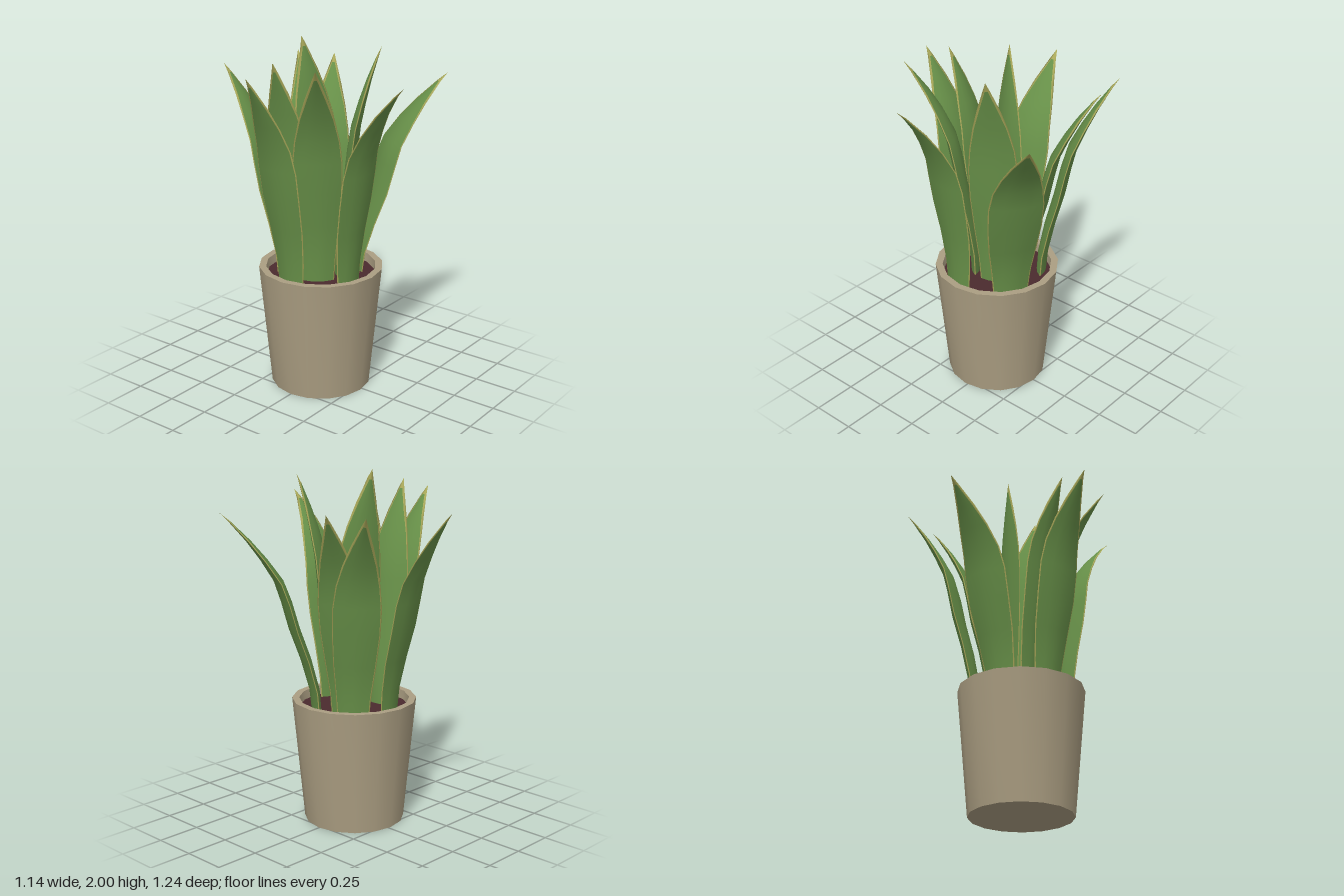
import * as THREE from 'three';
import { toCreasedNormals } from 'three/addons/utils/BufferGeometryUtils.js';

const clay = new THREE.MeshStandardMaterial({ name: 'clay', color: 0xab9e82 });
const soil = new THREE.MeshStandardMaterial({ name: 'soil', color: 0x4a2a2e });
const green = new THREE.MeshStandardMaterial({ name: 'leafGreen', color: 0x689149 });
const margin = new THREE.MeshStandardMaterial({ name: 'leafMargin', color: 0xaaa95a });

// Rows up a leaf: [height fraction, lean fraction, half width, half thickness]
const ROWS = [
  [0, 0, 0.085, 0.026], [0.15, 0.03, 0.099, 0.028], [0.3, 0.12, 0.119, 0.03],
  [0.45, 0.24, 0.133, 0.031], [0.58, 0.32, 0.135, 0.03], [0.68, 0.4, 0.121, 0.027],
  [0.78, 0.55, 0.094, 0.021], [0.87, 0.71, 0.06, 0.014], [0.96, 0.9, 0.019, 0.006],
  [1, 1, 0, 0],
];
const BASE_Y = 0.6;
const RING = 12; // points around a leaf's cross-section
const EDGE_STRIPS = [0, 5, 6, 11]; // strips beside the two sharp edges

// A lens-shaped blade lofted through closed cross-sections
function leafGeometry({ base, tip, face, width = 1, bend = 1 }) {
  const n = new THREE.Vector2(...face).normalize();
  const pos = [], body = [], edge = [];
  for (const [t, leanAt, halfAt, thick] of ROWS) {
    const lean = leanAt ** bend, half = halfAt * width;
    const cx = base[0] + (tip[0] - base[0]) * lean;
    const cz = base[1] + (tip[2] - base[1]) * lean;
    // The pale margin broadens towards the tip
    const pale = 0.006 + 0.02 * t ** 8;
    const m = 1 - Math.min(0.6, pale / Math.max(half, 0.001));
    const across = [-1, -m, -m / 2, 0, m / 2, m, 1, m, m / 2, 0, -m / 2, -m];
    across.forEach((s, i) => {
      const u = s * half;
      const d = (i < 6 ? 1 : -1) * thick * (1 - s * s);
      pos.push(cx + n.y * u + n.x * d, BASE_Y + (tip[1] - BASE_Y) * t, cz - n.x * u + n.y * d);
    });
  }
  for (let r = 0; r < ROWS.length - 1; r++) {
    const last = r === ROWS.length - 2;
    for (let c = 0; c < RING; c++) {
      const a = r * RING + c, b = r * RING + (c + 1) % RING;
      const tris = last ? [a, b, a + RING] : [a, b, b + RING, a, b + RING, a + RING];
      (last || EDGE_STRIPS.includes(c) ? edge : body).push(...tris);
    }
  }
  const geo = new THREE.BufferGeometry();
  geo.setAttribute('position', new THREE.Float32BufferAttribute(pos, 3));
  geo.setIndex([...body, ...edge]);
  geo.addGroup(0, body.length, 0);
  geo.addGroup(body.length, edge.length, 1);
  geo.computeVertexNormals();
  return geo;
}

// base: [x, z], tip: [x, y, z], face: outward [x, z]
const LEAVES = [
  { name: 'backLeaf', base: [-0.075, -0.21], tip: [-0.1, 1.8, -0.62], face: [-0.2, -1] },
  { name: 'backLeftLeaf', base: [0.17, -0.17], tip: [0.42, 1.81, -0.5], face: [0.83, -0.56], width: 0.98 },
  { name: 'leftLeaf', base: [0.13, -0.08], tip: [0.47, 1.81, -0.27], face: [0.85, -0.5], width: 0.92 },
  { name: 'frontLeftLeaf', base: [0.175, 0.105], tip: [0.57, 1.77, 0.44], face: [0.82, 0.57], width: 1.13 },
  { name: 'frontLeaf', base: [-0.09, 0.245], tip: [-0.145, 1.83, 0.615], face: [-0.08, 1], bend: 1.4 },
  { name: 'frontRightLeaf', base: [-0.12, 0.06], tip: [-0.425, 1.92, 0.275], face: [-0.78, 0.62], bend: 1.15 },
  { name: 'innerFrontLeaf', base: [0.05, 0.08], tip: [0.15, 1.96, 0.28], face: [0.55, 0.83] },
  { name: 'rightLeaf', base: [-0.245, -0.03], tip: [-0.575, 1.87, -0.05], face: [-1, -0.05] },
  { name: 'innerRightLeaf', base: [-0.155, -0.075], tip: [-0.385, 1.92, -0.03], face: [-0.95, 0.2], width: 0.95 },
  { name: 'centreLeaf', base: [0.04, -0.03], tip: [-0.03, 2, -0.12], face: [0.33, -0.94], width: 1.05 },
];

export function createModel() {
  const plant = new THREE.Group();
  plant.name = 'pottedPlant';

  // Tapered pot with a thick rim
  const profile = [[0, 0], [0.285, 0], [0.352, 0.71], [0.312, 0.71], [0.3, 0.6]]
    .map(([r, y]) => new THREE.Vector2(r, y));
  const pot = new THREE.Mesh(toCreasedNormals(new THREE.LatheGeometry(profile, 16), 0.7), clay);
  pot.name = 'pot';

  // Soil just below the rim
  const earth = new THREE.Mesh(new THREE.CircleGeometry(0.307, 16).rotateX(-Math.PI / 2), soil);
  earth.name = 'soil';
  earth.position.y = 0.66;

  const container = new THREE.Group();
  container.name = 'container';
  container.position.x = -0.015;
  container.add(pot, earth);
  plant.add(container);

  // Leaves
  for (const spec of LEAVES) {
    const leaf = new THREE.Mesh(leafGeometry(spec), [green, margin]);
    leaf.name = spec.name;
    plant.add(leaf);
  }
  return plant;
}
